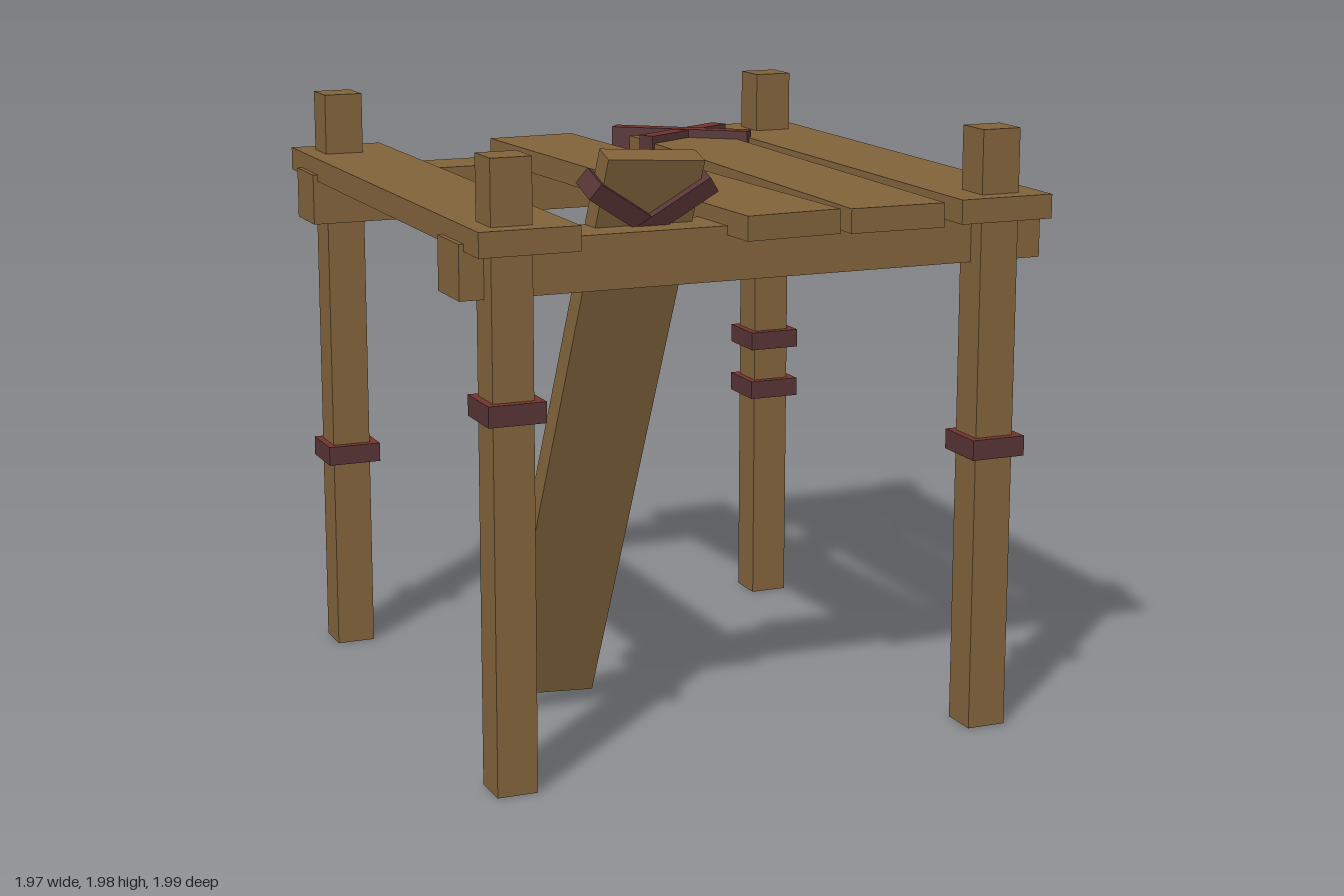
import * as THREE from 'three';

export function createModel() {
  const model = new THREE.Group();
  const mat = (name, color) => {
    const m = new THREE.MeshStandardMaterial({ color });
    m.name = name;
    return m;
  };
  const wood = mat('wood', 0x80623a);
  const red = mat('strapRed', 0x72332c);
  const dark = mat('strapDark', 0x563335);
  // Straps are dark with a red upper face (box face order: +x -x +y -y +z -z)
  const strap = [dark, dark, red, dark, dark, dark];

  const box = (parent, name, size, pos, material = wood, rotY = 0) => {
    const mesh = new THREE.Mesh(new THREE.BoxGeometry(...size), material);
    mesh.name = name;
    mesh.position.set(...pos);
    mesh.rotation.y = rotY;
    parent.add(mesh);
    return mesh;
  };

  // Two crossed straps wrapped round a plank
  const crossLashing = () => {
    const g = new THREE.Group();
    g.name = 'crossLashing';
    box(g, 'longStrap', [0.507, 0.125, 0.06], [0, 0, -0.008], strap, -0.671);
    box(g, 'shortStrap', [0.445, 0.12, 0.06], [0, 0, 0.008], strap, 0.522);
    return g;
  };

  // Legs, each with its wrapped bands at the given heights
  const legs = [
    [-0.843, 0.853, [1.21]],
    [0.802, 0.853, [0.95]],
    [0.802, -0.834, [0.985, 0.798]],
    [-0.843, -0.834, [0.702]],
  ];
  for (const [x, z, bands] of legs) {
    box(model, 'leg', [0.132, 1.98, 0.132], [x, 0.99, z]);
    for (const y of bands) {
      box(model, 'legBand', [0.186, 0.066, 0.186], [x + 0.003, y, z + 0.001], strap);
    }
  }

  // Cross beams, front and back
  for (const z of [0.757, -0.765]) {
    box(model, 'crossBeam', [1.974, 0.172, 0.194], [0, 1.634, z]);
  }

  // Top planks: x, z, turn about y, height of centre
  const planks = [
    [-0.81, 0, 0, 1.736],
    [-0.008, -0.006, 0.061, 1.73],
    [0.414, 0.005, -0.0125, 1.731],
    [0.79, 0, 0, 1.734],
  ];
  for (const [x, z, turn, y] of planks) {
    box(model, 'topPlank', [0.322, 0.078, 1.972], [x, y, z], wood, turn);
  }

  // Lashing on the back of the narrow-gap plank
  const topLashing = crossLashing();
  topLashing.position.set(0.43, 1.737, -0.752);
  model.add(topLashing);

  // Fallen plank, leaning through the gap against the front beam
  const fallen = new THREE.Group();
  fallen.name = 'fallenPlank';
  box(fallen, 'plank', [0.322, 1.972, 0.078], [0, 0, 0]);
  const fallenLashing = crossLashing();
  fallenLashing.position.set(0.0, 0.768, 0);
  fallenLashing.rotation.x = -Math.PI / 2;
  fallen.add(fallenLashing);
  fallen.position.set(-0.399, 1.005, 0.463);
  fallen.rotation.set(0.317, 0, -0.07);
  model.add(fallen);

  return model;
}
